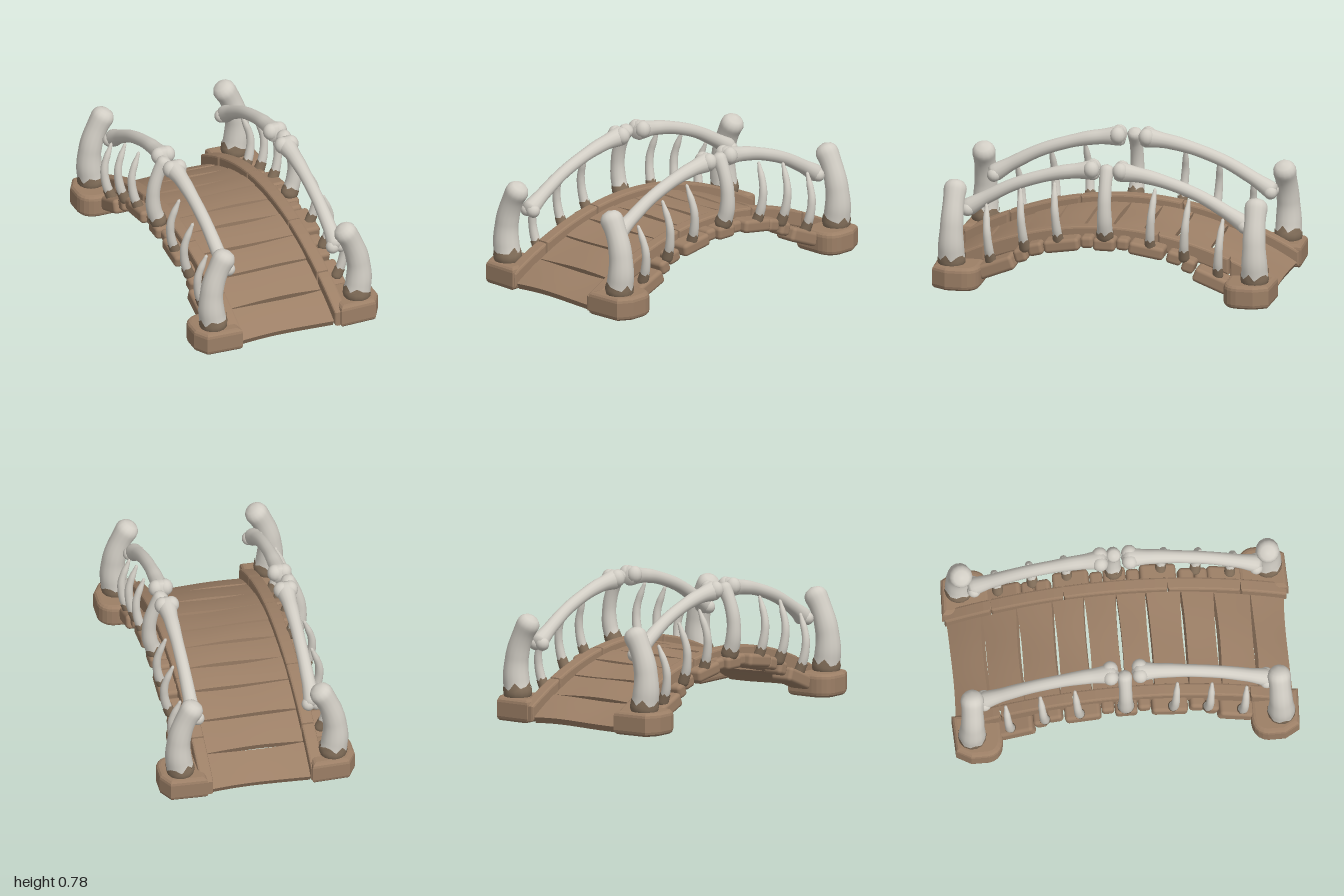
import * as THREE from 'three';
import { mergeVertices } from 'three/addons/utils/BufferGeometryUtils.js';
import { RoundedBoxGeometry } from 'three/addons/geometries/RoundedBoxGeometry.js';

const material = (name, color) => {
  const m = new THREE.MeshStandardMaterial({ color });
  m.name = name;
  return m;
};

export function createModel() {
  const group = new THREE.Group();
  const bone = material('bone', 0xd2cec5);
  const earth = material('brown stone', 0x9c7f66);
  const stain = material('earth stain', 0x84705b);
  const V = (x, y, z) => new THREE.Vector3(x, y, z);

  const add = (name, geo, mat, x = 0, y = 0, z = 0, rx = 0) => {
    const m = new THREE.Mesh(geo, mat);
    m.name = name;
    m.position.set(x, y, z);
    m.rotation.x = rx;
    group.add(m);
    return m;
  };

  // Radius at u from evenly spaced values, eased between them
  const radiusAt = (list, u) => {
    const k = Math.min(u, 0.9999) * (list.length - 1), i = Math.floor(k);
    return THREE.MathUtils.lerp(list[i], list[i + 1], THREE.MathUtils.smoothstep(k - i, 0, 1));
  };

  // Tube with a varying radius
  const taperedTube = (curve, n, sides, radius) => {
    const g = new THREE.TubeGeometry(curve, n, 1, sides, false);
    const p = g.attributes.position, v = new THREE.Vector3();
    for (let i = 0; i <= n; i++) {
      const c = curve.getPointAt(i / n), r = radius(i / n);
      for (let j = 0; j <= sides; j++) {
        const k = i * (sides + 1) + j;
        v.fromBufferAttribute(p, k).sub(c).multiplyScalar(r).add(c);
        p.setXYZ(k, v.x, v.y, v.z);
      }
    }
    return g;
  };
  const smooth = (g) => {
    g.deleteAttribute('uv');
    g.deleteAttribute('normal');
    const m = mergeVertices(g, 1e-5);
    m.computeVertexNormals();
    return m;
  };

  // Bone with rounded ends; stainTo > 0 adds a ragged earthy foot
  const addBone = (name, pts, radii, stainTo = 0, round = 1) => {
    const curve = new THREE.CatmullRomCurve3(pts), len = curve.getLength();
    const radius = (u) => {
      const r = radiusAt(radii, u), cap = r * round;
      const d = Math.min(u, 1 - u) * len;
      return d >= cap ? r : r * Math.sqrt(Math.max(0, 1 - (1 - d / cap) ** 2));
    };
    add(name, smooth(taperedTube(curve, 40, 14, radius)), bone);
    if (!stainTo) return;
    const foot = [];
    for (let i = 0; i <= 6; i++) foot.push(curve.getPointAt((i / 6) * stainTo));
    const sides = 14, n = 8;
    const g = taperedTube(new THREE.CatmullRomCurve3(foot), n, sides, (u) => radius(u * stainTo) + 0.003);
    const p = g.attributes.position;
    for (let j = 0; j <= sides; j++) {
      const k = n * (sides + 1) + j;
      p.setY(k, p.getY(k) + radii[0] * 0.3 * Math.sin((j % sides) * 2.4));
    }
    add(name + 'Stain', smooth(g), stain);
  };

  // Arched deck of ten slightly hollow-edged planks
  const deckY = (z) => 0.34 - 0.315 * z * z;
  const edges = [-0.97, -0.77, -0.57, -0.365, -0.185, 0, 0.17, 0.37, 0.56, 0.77, 0.965];
  for (let i = 0; i < 10; i++) {
    const a = edges[i], b = edges[i + 1], ya = deckY(a), yb = deckY(b);
    const len = Math.hypot(b - a, yb - ya) - 0.004;
    const g = new THREE.BoxGeometry(0.575, 0.04, len, 10, 1, 4);
    const p = g.attributes.position;
    for (let k = 0; k < p.count; k++) {
      const t = p.getX(k) / 0.29, e = p.getZ(k) / (len / 2);
      p.setZ(k, p.getZ(k) - e * 0.009 * (1 - t * t));
      p.setY(k, p.getY(k) + 0.004 * Math.sin(t * 3 + i * 1.7) - 0.004 * e * e);
    }
    g.computeVertexNormals();
    add('plank', g, earth, -0.013, (ya + yb) / 2 - 0.018, (a + b) / 2, -Math.atan2(yb - ya, b - a));
  }

  // Curb segment following the arch between two z values
  const curbTop = (z) => 0.38 - 0.285 * z * z;
  const curbGeometry = (z0, z1, width) => {
    const n = 10, bevel = 0.012, top = [], low = [];
    for (let i = 0; i <= n; i++) {
      const z = THREE.MathUtils.lerp(z0 + bevel, z1 - bevel, i / n);
      top.push(new THREE.Vector2(z, curbTop(z) - bevel));
      low.unshift(new THREE.Vector2(z, Math.max(0.03, curbTop(z) - 0.1 + bevel)));
    }
    const g = new THREE.ExtrudeGeometry(new THREE.Shape([...low, ...top].reverse()), {
      depth: width - 2 * bevel, bevelEnabled: true, bevelSize: bevel, bevelThickness: bevel, bevelSegments: 2,
    });
    g.translate(0, 0, -width / 2 + bevel);
    g.rotateY(-Math.PI / 2);
    return g;
  };

  // Corner footing with rounded outer corners
  const footingGeometry = (s, f) => {
    const x = (v) => s * v, z = (v) => -f * v;
    const sh = new THREE.Shape();
    sh.moveTo(x(0.335), z(0.745));
    sh.lineTo(x(0.47), z(0.745));
    sh.quadraticCurveTo(x(0.54), z(0.75), x(0.547), z(0.81));
    sh.lineTo(x(0.547), z(0.9));
    sh.lineTo(x(0.51), z(0.965));
    sh.lineTo(x(0.335), z(0.972));
    sh.closePath();
    const g = new THREE.ExtrudeGeometry(sh, {
      depth: 0.082, bevelEnabled: true, bevelSize: 0.028, bevelThickness: 0.028, bevelSegments: 3, curveSegments: 5,
    });
    g.rotateX(-Math.PI / 2);
    g.translate(0, 0.028, 0);
    return g;
  };

  // Side stones: z, y, length, height, outer x
  const stones = [
    [0.105, 0.3, 0.075, 0.07, 0.43], [0.25, 0.277, 0.21, 0.075, 0.455], [0.41, 0.238, 0.09, 0.075, 0.43],
    [0.495, 0.198, 0.075, 0.08, 0.44], [0.635, 0.122, 0.22, 0.085, 0.46],
  ];
  const addStone = (s, z, y, len, h, outer) => {
    const w = outer - 0.32;
    add('sideStone', new RoundedBoxGeometry(w, h, len, 3, 0.022), earth,
      s * (0.32 + w / 2), y, z, Math.atan(0.62 * z));
  };

  for (const s of [1, -1]) {
    const curbX = s * 0.325 - 0.013, railX = s * 0.35 + 0.005;
    const cuts = [-0.99, -0.72, -0.3, 0.3, 0.72, 0.99];
    for (let i = 0; i < 5; i++) {
      add('curb', curbGeometry(cuts[i] + 0.002, cuts[i + 1] - 0.002, 0.076), earth, curbX);
    }

    // Central stone and post
    addStone(s, 0, 0.297, 0.13, 0.075, 0.45);
    addBone('middlePost', [V(s * 0.395, 0.31, 0), V(s * 0.437, 0.43, -0.005), V(s * 0.44, 0.55, -0.005),
      V(s * 0.41, 0.66, -0.005), V(s * 0.355, 0.76, -0.005)], [0.05, 0.045, 0.04, 0.038, 0.045], 0.17);

    for (const f of [1, -1]) {
      add('footing', footingGeometry(s, f), earth);
      for (const [z, y, len, h, outer] of stones) addStone(s, f * z, y, len, h, outer);

      // Thick leaning end post
      addBone('endPost', [V(s * 0.437, 0.09, f * 0.893), V(s * 0.463, 0.27, f * 0.893), V(s * 0.45, 0.4, f * 0.89),
        V(s * 0.41, 0.51, f * 0.888), V(s * 0.35, 0.612, f * 0.885)], [0.085, 0.077, 0.068, 0.063, 0.072], 0.19);

      // Handrail bone with knuckled ends
      addBone('handrail', [V(railX, 0.725, f * 0.035), V(railX, 0.69, f * 0.28), V(railX, 0.61, f * 0.53),
        V(railX, 0.52, f * 0.7), V(railX, 0.43, f * 0.845)], [0.062, 0.043, 0.037, 0.037, 0.04, 0.054], 0, 0.8);
      for (const e of [1, -1]) {
        const upper = add('railKnuckle', new THREE.SphereGeometry(0.046, 14, 10), bone, railX + e * 0.026, 0.727, f * 0.085);
        upper.scale.set(1, 1.1, 1);
        add('railKnuckle', new THREE.SphereGeometry(0.04, 14, 10), bone, railX + e * 0.024, 0.442, f * 0.815);
      }

      // Pointed ribs between the posts
      for (const [z, base, tip] of [[0.275, 0.27, 0.65], [0.475, 0.22, 0.6], [0.675, 0.13, 0.495]]) {
        const at = (x, k) => V(s * x, base + (tip - base) * k, f * (z - 0.008 + 0.03 * k));
        addBone('rib', [at(0.41, 0), at(0.448, 0.3), at(0.455, 0.6), at(0.405, 1)],
          [0.03, 0.027, 0.024, 0.02, 0.009], 0.22);
      }
    }
  }
  return group;
}
